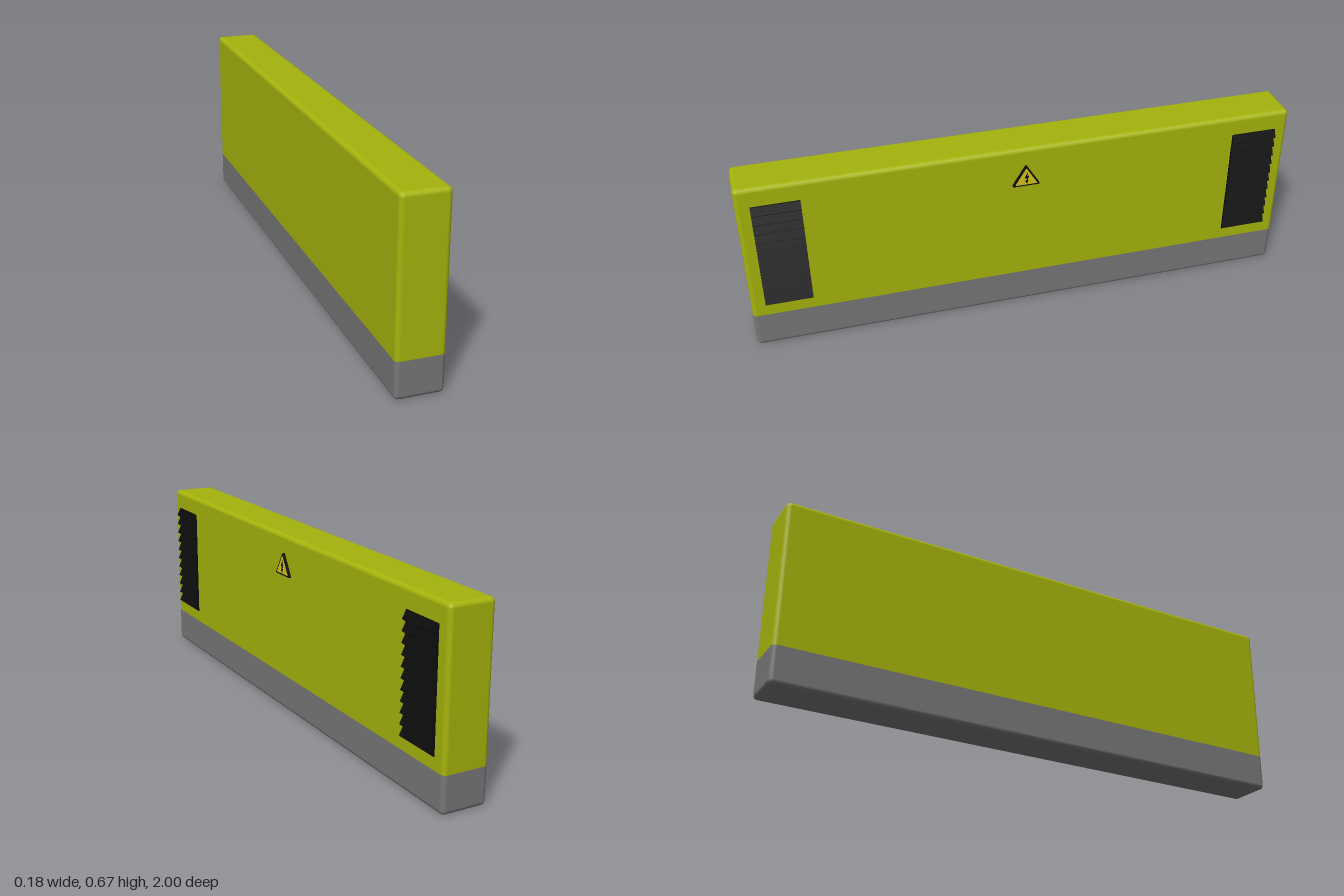
import * as THREE from 'three';
import { RoundedBoxGeometry } from 'three/addons/geometries/RoundedBoxGeometry.js';

const LEFT = 0.074, RIGHT = -0.092, HEIGHT = 0.665, SPLIT = 0.133;
const mat = (color) => new THREE.MeshStandardMaterial({ color });
const lime = mat(0xa6b40c), grey = mat(0x777777), black = mat(0x0c0c0c), yellow = mat(0xd6c41c);

function add(parent, name, geometry, material) {
  const mesh = new THREE.Mesh(geometry, material);
  mesh.name = name;
  parent.add(mesh);
  return mesh;
}

// One end of the rounded casing: the whole box, with its height clamped to a range
function casing(yMin, yMax) {
  const g = new RoundedBoxGeometry(LEFT - RIGHT, HEIGHT, 2, 4, 0.016);
  g.translate((LEFT + RIGHT) / 2, HEIGHT / 2, 0);
  const p = g.attributes.position;
  for (let i = 0; i < p.count; i++) p.setY(i, THREE.MathUtils.clamp(p.getY(i), yMin, yMax));
  return g;
}

function prism(points, depth) {
  const shape = new THREE.Shape(points.map(([x, y]) => new THREE.Vector2(x, y)));
  return new THREE.ExtrudeGeometry(shape, { depth, bevelEnabled: false });
}

// Triangle with rounded corners, centred on x
function roundedTriangle(halfWidth, yLow, yHigh, r, depth) {
  const corners = [[-halfWidth, yLow], [halfWidth, yLow], [0, yHigh]].map((c) => new THREE.Vector2(...c));
  const shape = new THREE.Shape();
  corners.forEach((c, i) => {
    const toward = (o) => c.clone().add(o.clone().sub(c).setLength(r));
    const a = toward(corners[(i + 2) % 3]), b = toward(corners[(i + 1) % 3]);
    if (i) shape.lineTo(a.x, a.y); else shape.moveTo(a.x, a.y);
    shape.quadraticCurveTo(c.x, c.y, b.x, b.y);
  });
  shape.closePath();
  return new THREE.ExtrudeGeometry(shape, { depth, bevelEnabled: false, curveSegments: 4 });
}

export function createModel() {
  const model = new THREE.Group();
  model.name = 'electricalCabinet';

  // Casing and plinth
  add(model, 'upperCasing', casing(SPLIT, HEIGHT), lime);
  add(model, 'plinth', casing(0, SPLIT), grey);

  // Louvred vents: a sawtooth profile run along z
  const profile = [[LEFT - 0.004, 0.595], [LEFT - 0.004, 0.177]];
  for (let i = 0; i < 11; i++) {
    const tip = 0.188 + i * 0.0378;
    profile.push([0.0765, tip - 0.0108], [0.0905, tip], [0.0775, tip + 0.0265]);
  }
  profile.push([0.0765, 0.595]);
  const vent = prism(profile, 0.168);
  for (const [name, z] of [['frontVent', 0.783], ['rearVent', -0.951]]) {
    add(model, name, vent, black).position.z = z;
  }

  // Warning sign, drawn facing +z and turned to face +x
  const sign = new THREE.Group();
  sign.name = 'warningSign';
  sign.rotation.y = Math.PI / 2;
  sign.position.x = LEFT;
  model.add(sign);
  add(sign, 'signPlate', roundedTriangle(0.051, 0.519, 0.602, 0.006, 0.0095), black);
  add(sign, 'signFace', roundedTriangle(0.041, 0.5245, 0.592, 0.004, 0.0105), yellow);
  const bolt = [[0.004, 0.575], [-0.007, 0.552], [0.001, 0.554], [-0.002, 0.54], [-0.006, 0.541],
    [0.002, 0.529], [0.006, 0.543], [0.002, 0.541], [0.009, 0.561], [0.002, 0.559]];
  add(sign, 'bolt', prism(bolt, 0.0125), black);

  return model;
}
